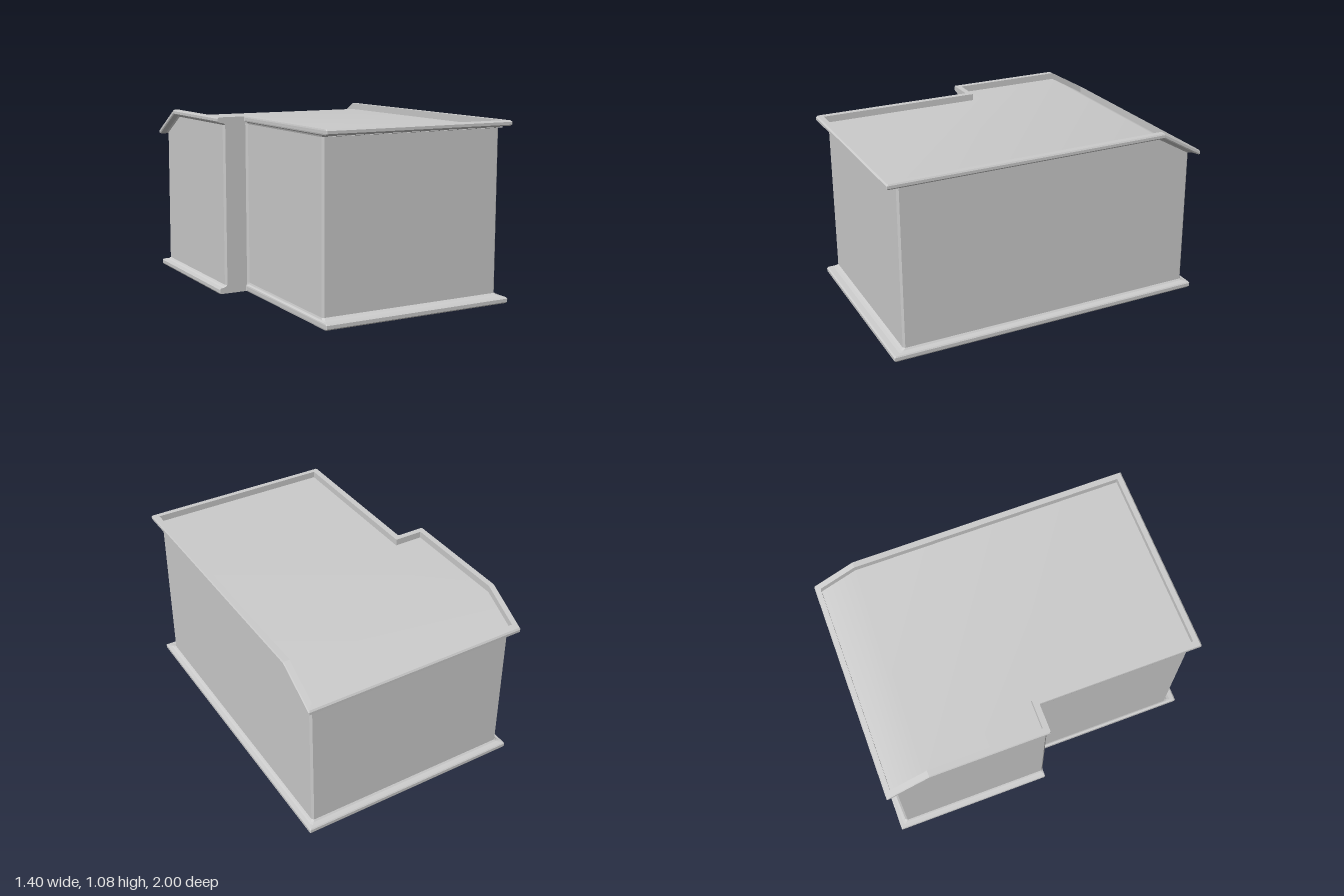
import * as THREE from 'three';

const SLOPE = 0.56;
const FRONT_PART = [0, 1, 2, 5, 6, 7];
const REAR_PART = [2, 3, 4, 5];

// L-shaped plan, counterclockwise from above, with points where the roof starts to fall
function plan(left, right, front, back, fold, notchX, notchZ) {
  return [
    [notchX, front], [right, front], [right, fold], [right, back],
    [left, back], [left, fold], [left, notchZ], [notchX, notchZ],
  ];
}

const blend = (a, b, t) => a.map((p, i) => [p[0] + (b[i][0] - p[0]) * t, p[1] + (b[i][1] - p[1]) * t]);

// Cut each corner by a small bevel, leaving the fold points alone
function bevel(pts, size) {
  const out = [];
  pts.forEach((p, i) => {
    if (i === 2 || i === 5) { out.push(p); return; }
    for (const q of [pts[(i + 7) % 8], pts[(i + 1) % 8]]) {
      const d = Math.hypot(q[0] - p[0], q[1] - p[1]);
      out.push([p[0] + (q[0] - p[0]) * size / d, p[1] + (q[1] - p[1]) * size / d]);
    }
  });
  return out;
}

// Place a plan at a height; roof rings drop behind their fold
function ring(pts, y, size, sloped) {
  const fold = pts[2][1];
  return bevel(pts, size).map(([x, z]) =>
    new THREE.Vector3(x, y - (sloped ? Math.max(0, fold - z) * SLOPE : 0), z));
}

function toMesh(name, positions, index) {
  const g = new THREE.BufferGeometry();
  g.setAttribute('position', new THREE.Float32BufferAttribute(positions, 3));
  if (index) g.setIndex(index);
  g.computeVertexNormals();
  const mesh = new THREE.Mesh(g, new THREE.MeshStandardMaterial({ color: 0xcccccc }));
  mesh.name = name;
  return mesh;
}

// Skin a stack of rings with hard-edged quads
function skin(name, rings) {
  const pos = [];
  for (let r = 0; r + 1 < rings.length; r++) {
    const a = rings[r], b = rings[r + 1];
    for (let i = 0; i < a.length; i++) {
      const j = (i + 1) % a.length;
      for (const v of [a[i], a[j], b[j], a[i], b[j], b[i]]) pos.push(v.x, v.y, v.z);
    }
  }
  return toMesh(name, pos);
}

// Fill a plan, split along the fold, with shared normals
function fill(name, pts, y, sloped, faceUp) {
  const pos = [], index = [];
  const fold = pts[2][1];
  for (const [x, z] of pts) pos.push(x, y - (sloped ? Math.max(0, fold - z) * SLOPE : 0), z);
  for (const part of [FRONT_PART, REAR_PART]) {
    const contour = part.map((i) => new THREE.Vector2(pts[i][0], -pts[i][1]));
    for (const [a, b, c] of THREE.ShapeUtils.triangulateShape(contour, [])) {
      index.push(part[a], ...(faceUp ? [part[b], part[c]] : [part[c], part[b]]));
    }
  }
  return toMesh(name, pos, index);
}

export function createModel() {
  const group = new THREE.Group();
  group.name = 'building';

  const outer = plan(-0.70, 0.70, 1.0, -1.0, -0.735, -0.52, -0.01);
  const wallLow = plan(-0.66, 0.66, 0.93, -0.957, -0.72, -0.505, -0.01);
  const wallHigh = plan(-0.66, 0.66, 0.93, -0.945, -0.72, -0.505, -0.01);
  const inner = plan(-0.66, 0.66, 0.96, -0.965, -0.735, -0.48, -0.045);

  // Base moulding: [inset towards wall, height]
  const base = [[0.12, 0], [0, 0.008], [0, 0.028], [0.12, 0.035], [0.55, 0.038], [0.8, 0.043], [1, 0.053]];
  group.add(skin('baseMoulding', base.map(([t, y]) => ring(blend(outer, wallLow, t), y, 0.004 + 0.008 * t, false))));
  group.add(fill('floor', blend(outer, wallLow, 0.12), 0, false, false));

  // Walls
  group.add(skin('walls', [ring(wallLow, 0.053, 0.012, false), ring(wallHigh, 1.03, 0.012, true)]));

  // Roof rim: underside and outer face, then top and inner face
  const rim = [[1, 1.03], [0.8, 1.038], [0.55, 1.042], [0.12, 1.045], [0, 1.052], [0, 1.068], [0.12, 1.076]];
  const rimRings = rim.map(([t, y]) => ring(blend(outer, wallHigh, t), y, 0.004 + 0.008 * t, true));
  rimRings.push(ring(inner, 1.076, 0.001, true), ring(inner, 1.035, 0.001, true));
  group.add(skin('roofRim', rimRings));

  // Sunken roof surface, falling towards the back
  group.add(fill('roof', inner, 1.035, true, true));
  return group;
}
